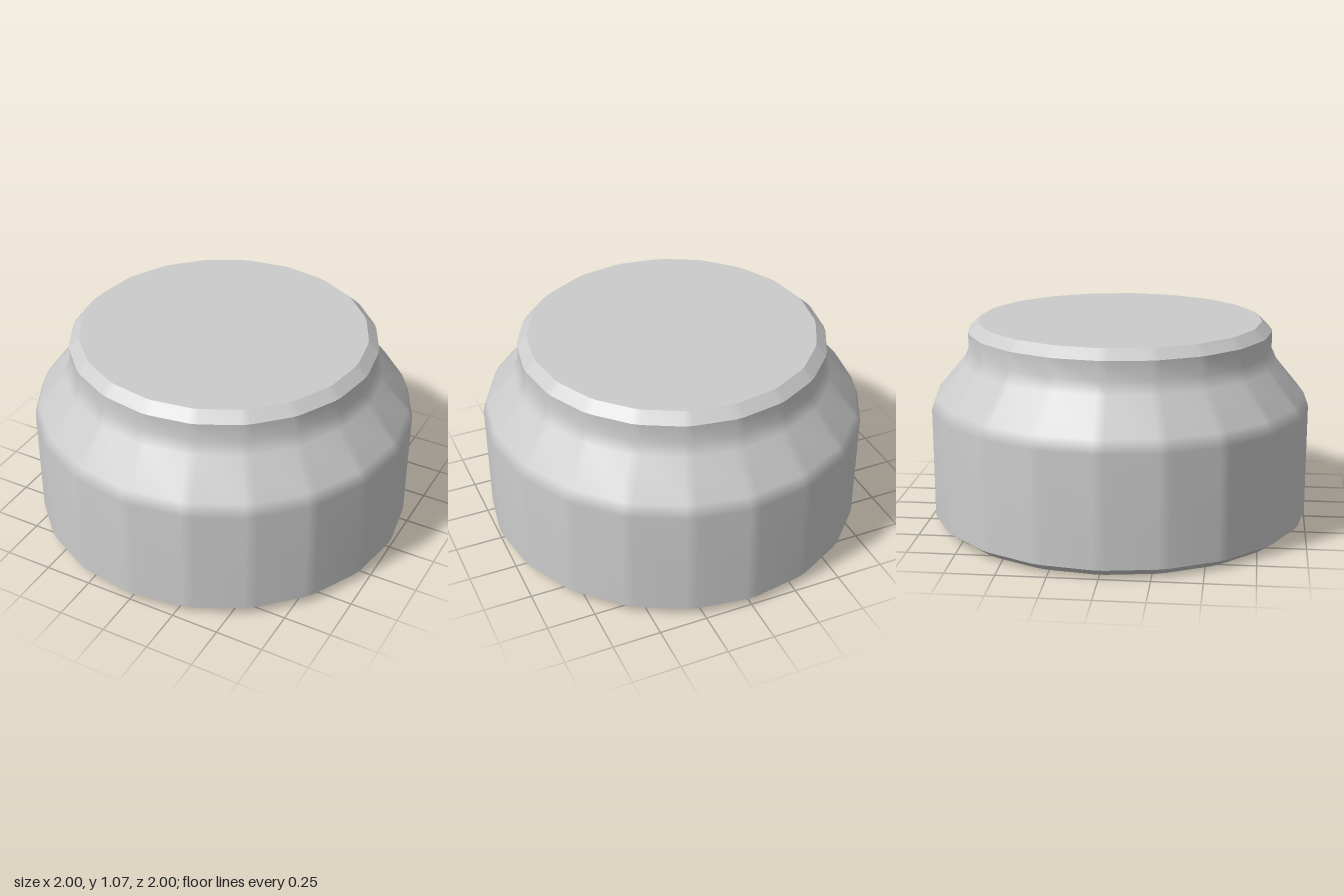
import * as THREE from 'three';
import { mergeVertices } from 'three/addons/utils/BufferGeometryUtils.js';

const SIDES = 20; // main facets around the jar
const BEVEL = THREE.MathUtils.degToRad(1.6); // half-width of the narrow strip softening each upright edge

// Profile sections (radius, height); edges stay sharp between sections, smooth inside one
const SECTIONS = {
  base: [[0, 0], [0.94, 0]],
  bottomChamfer: [[0.94, 0], [1, 0.045]],
  body: [[1, 0.045], [1, 0.62], [0.975, 0.685], [0.83, 0.86], [0.8, 0.925], [0.8, 1.02]],
  topChamfer: [[0.8, 1.02], [0.745, 1.07]],
  topFace: [[0.745, 1.07], [0, 1.07]],
};

// Lathe a section, then gather its columns in pairs around each facet corner
function facetedLathe(profile) {
  const rows = profile.length;
  let geometry = new THREE.LatheGeometry(profile.map(([r, y]) => new THREE.Vector2(r, y)), SIDES * 2);
  const position = geometry.attributes.position;
  for (let i = 0; i < position.count; i++) {
    const column = Math.floor(i / rows);
    const [r, y] = profile[i % rows];
    const corner = Math.floor(column / 2) * (2 * Math.PI / SIDES);
    const angle = corner + (column % 2 ? BEVEL : -BEVEL);
    position.setXYZ(i, r * Math.sin(angle), y, r * Math.cos(angle));
  }
  geometry.deleteAttribute('uv');
  geometry.deleteAttribute('normal');
  geometry = mergeVertices(geometry);
  geometry.computeVertexNormals(); // area weighting keeps the facets nearly flat
  return geometry;
}

export function createModel() {
  const model = new THREE.Group();
  model.name = 'jar';
  const material = new THREE.MeshStandardMaterial({ color: 0xcccccc });
  for (const [name, profile] of Object.entries(SECTIONS)) {
    const mesh = new THREE.Mesh(facetedLathe(profile), material);
    mesh.name = name;
    model.add(mesh);
  }
  return model;
}
